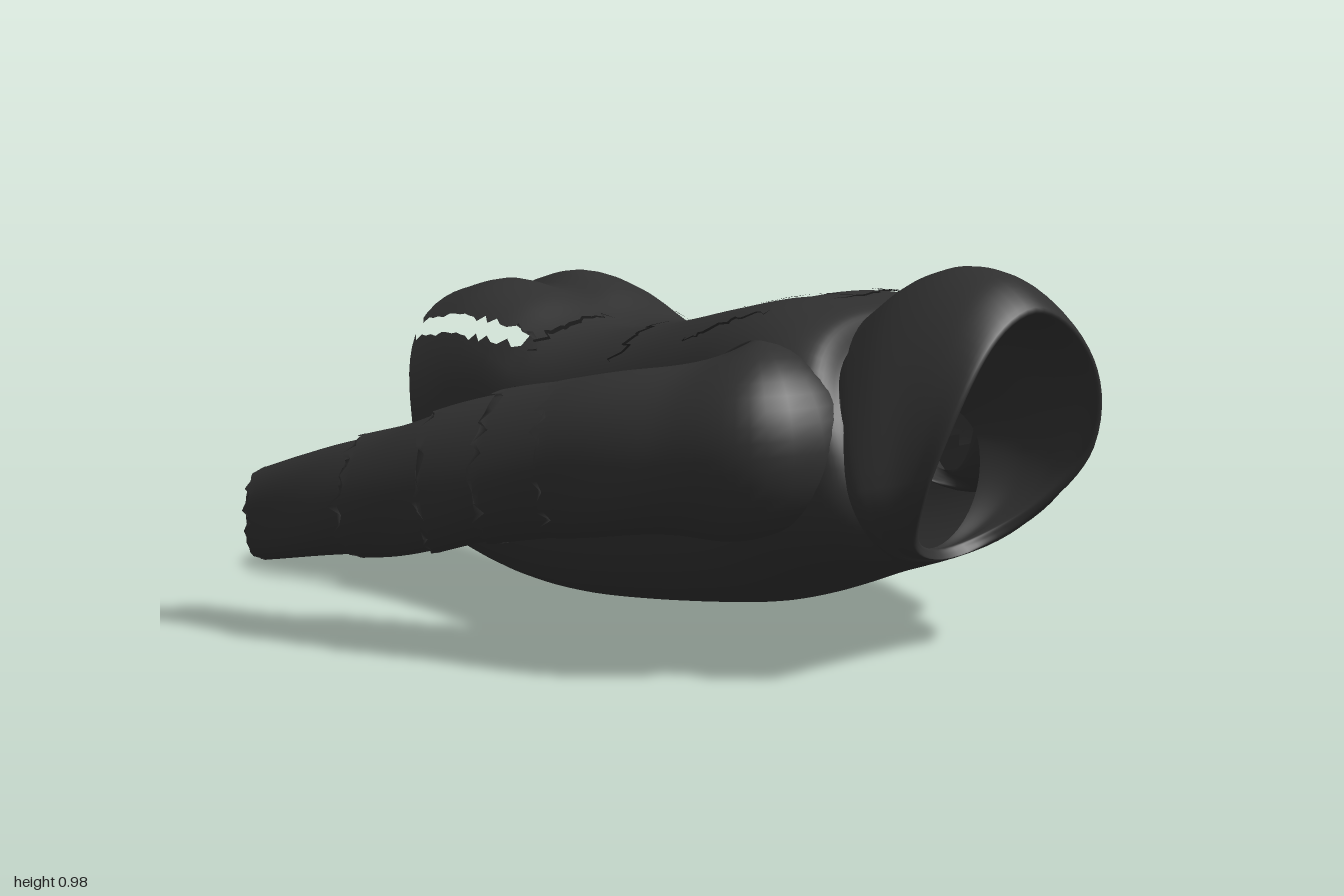
import * as THREE from 'three';

const cloth = new THREE.MeshStandardMaterial({ color: 0x303030, side: THREE.DoubleSide });
cloth.name = 'charcoalCloth';
const seam = new THREE.MeshStandardMaterial({ color: 0x161616, side: THREE.DoubleSide });
seam.name = 'darkTear';

// Repeatable jitter in -1..1
const jag = (i, k = 1) => {
  const s = Math.sin(i * 127.1 + k * 311.7) * 43758.5453;
  return 2 * (s - Math.floor(s)) - 1;
};

// Smooth interpolation through rows of key values, t from 0 to 1
function sample(keys, t) {
  const f = THREE.MathUtils.clamp(t, 0, 1) * (keys.length - 1);
  const i = Math.min(Math.floor(f), keys.length - 2), u = f - i;
  const at = (j) => keys[THREE.MathUtils.clamp(j, 0, keys.length - 1)];
  return keys[i].map((p1, c) => {
    const p0 = at(i - 1)[c], p2 = at(i + 1)[c], p3 = at(i + 2)[c];
    const m1 = (p2 - p0) / 2, m2 = (p3 - p1) / 2, d = p2 - p1;
    return p1 + u * (m1 + u * (3 * d - 2 * m1 - m2 + u * (m1 + m2 - 2 * d)));
  });
}

// Surface of rings: point(t, angle, row, column); skip() leaves holes
function loft(name, rows, cols, point, skip = () => false) {
  const pos = [], idx = [];
  for (let r = 0; r <= rows; r++) {
    for (let c = 0; c < cols; c++) {
      pos.push(...point(r / rows, (c / cols) * Math.PI * 2, r, c));
    }
  }
  for (let r = 0; r < rows; r++) {
    for (let c = 0; c < cols; c++) {
      if (skip(r, c)) continue;
      const a = r * cols + c, b = r * cols + (c + 1) % cols;
      idx.push(a, b, a + cols, b, b + cols, a + cols);
    }
  }
  const g = new THREE.BufferGeometry();
  g.setAttribute('position', new THREE.Float32BufferAttribute(pos, 3));
  g.setIndex(idx);
  g.computeVertexNormals();
  const mesh = new THREE.Mesh(g, cloth);
  mesh.name = name;
  return mesh;
}

// Point on a section [zTop, zBottom, halfWidth, yTop, yBottom, yWidest, sideBulge];
// the exponents set how boxy the upper and lower halves are
function sectionPoint([zt, zb, w, yt, yb, yw, bulge], a, upper, lower) {
  const c = Math.cos(a), s = Math.sin(a), n = s > 0 ? upper : lower;
  const k = (Math.abs(c) ** n + Math.abs(s) ** n) ** (-1 / n);
  const x = w * c * k;
  const y = yw + (s > 0 ? yt - yw : yw - yb) * s * k;
  return [x, y, zb + (zt - zb) * (y - yb) / (yt - yb) + bulge * c * c];
}

const torsoKeys = [
  [-0.97, -0.89, 0.42, 0.785, 0.06, 0.42, 0.08],
  [-0.81, -0.75, 0.395, 0.825, 0.02, 0.40, 0.03],
  [-0.65, -0.62, 0.38, 0.80, 0, 0.40, 0],
  [-0.45, -0.45, 0.375, 0.725, 0, 0.38, 0],
  [-0.20, -0.20, 0.388, 0.758, 0.025, 0.38, 0],
  [0.05, 0.05, 0.41, 0.82, 0.06, 0.42, 0],
  [0.25, 0.25, 0.44, 0.865, 0.10, 0.45, 0],
  [0.40, 0.46, 0.46, 0.865, 0.18, 0.50, 0.03],
  [0.47, 0.60, 0.42, 0.85, 0.23, 0.50, 0.10],
  [0.50, 0.66, 0.36, 0.80, 0.26, 0.50, 0.12],
];

function torsoPoint(t, a) {
  const p = sectionPoint(sample(torsoKeys, t), a, 2.9, 2.35);
  // Centre groove, deepest at the seat
  if (Math.sin(a) > 0) {
    const seat = 1 - THREE.MathUtils.smoothstep(t, 0.1, 0.4);
    const groove = Math.exp(-((p[0] / 0.07) ** 2));
    p[1] -= (0.005 + 0.035 * seat) * groove;
    p[2] += 0.03 * groove * seat;
  }
  return p;
}

const hoodKeys = [
  [0.44, 0.63, 0.375, 0.83, 0.25, 0.48, 0.13],
  [0.48, 0.66, 0.39, 0.86, 0.25, 0.48, 0.13],
  [0.59, 0.67, 0.37, 0.935, 0.26, 0.49, 0.12],
  [0.72, 0.68, 0.335, 0.975, 0.26, 0.50, 0.11],
  [0.85, 0.68, 0.31, 0.96, 0.26, 0.51, 0.10],
  [0.94, 0.67, 0.295, 0.895, 0.27, 0.52, 0.10],
  [0.90, 0.66, 0.27, 0.87, 0.28, 0.52, 0.10],
  [0.76, 0.65, 0.27, 0.84, 0.28, 0.51, 0.08],
  [0.64, 0.64, 0.245, 0.74, 0.27, 0.50, 0.05],
  [0.52, 0.62, 0.20, 0.65, 0.275, 0.51, 0.03],
];

// Sleeve path: x, y, z, half width, half height
const sleeveKeys = (endX, endZ) => [
  [0.30, 0.58, 0.38, 0.19, 0.18],
  [0.39, 0.565, 0.40, 0.26, 0.235],
  [0.505, 0.53, 0.25, 0.195, 0.205],
  [0.605, 0.50, 0.00, 0.175, 0.195],
  [0.73, 0.425, -0.30, 0.15, 0.175],
  [0.83, 0.355, -0.54, 0.115, 0.15],
  [endX, 0.285, endZ, 0.08, 0.11],
];

function sleevePoint(keys, t, a, grow) {
  const [x, y, z, w, h] = sample(keys, t);
  const p = sample(keys, t - 0.01), q = sample(keys, t + 0.01);
  const dx = q[0] - p[0], dz = q[2] - p[2], len = Math.hypot(dx, dz);
  const fold = grow + 0.005 * Math.sin(a * 3 + t * 25);
  const c = Math.cos(a) * (w + fold), s = Math.sin(a) * (h + fold);
  return [x - (dz / len) * c, y + s, z + (dx / len) * c];
}

// Jagged tear lying on the torso, between two [t, angle] points
function tear(from, to, width, seed) {
  const n = 16, pos = [], idx = [];
  for (let i = 0; i <= n; i++) {
    const u = i / n;
    const t = THREE.MathUtils.lerp(from[0], to[0], u) + 0.010 * jag(i, seed);
    const a = THREE.MathUtils.lerp(from[1], to[1], u) + 0.035 * jag(i, seed + 3);
    const wide = width * Math.sin(Math.PI * u) + 0.001;
    for (const k of [-1, 1]) {
      const [x, y, z] = torsoPoint(t + k * wide * 0.4, a + k * wide);
      pos.push(x + 0.006 * Math.cos(a), y + 0.006 * Math.sin(a), z);
    }
    if (i < n) idx.push(2 * i, 2 * i + 1, 2 * i + 2, 2 * i + 1, 2 * i + 3, 2 * i + 2);
  }
  const g = new THREE.BufferGeometry();
  g.setAttribute('position', new THREE.Float32BufferAttribute(pos, 3));
  g.setIndex(idx);
  g.computeVertexNormals();
  const mesh = new THREE.Mesh(g, seam);
  mesh.name = 'backTear';
  return mesh;
}

export function createModel() {
  const model = new THREE.Group();
  model.name = 'tornHoodedTop';

  // Torso shell, open at both ends and the armholes, split along the hips
  const cols = 72, rows = 72, split = [8, 27];
  const armhole = (r, c) => {
    const [x, y, z] = torsoPoint(r / rows, (c / cols) * Math.PI * 2);
    return Math.abs(x) > 0.38 && Math.hypot((z - 0.33) / 0.14, (y - 0.55) / 0.13) < 1;
  };
  model.add(loft('torso', rows, cols, (t, a, r, c) => {
    const side = Math.sign(Math.cos(a));
    const upper = split.includes(side > 0 ? c - 1 : c);
    const lower = split.includes(side > 0 ? c : c - 1);
    if (r > 21 || !(upper || lower)) return torsoPoint(t, a);
    const sag = 0.03 * jag(r) + 0.005 * r - 0.07 * Math.sin((Math.PI * r) / 21);
    return torsoPoint(t, a + side * (sag + (upper ? 0.02 : -0.02)));
  }, (r, c) => (r < 20 && split.includes(c)) || armhole(r, c)));

  // Hood with its rolled rim and inner lining
  model.add(loft('hood', 60, 64, (t, a) => sectionPoint(sample(hoodKeys, t), a, 1.8, 1.85)));

  // Sleeves made of overlapping torn bands
  const bands = [[0, 0.53], [0.50, 0.61], [0.59, 0.70], [0.67, 0.85], [0.82, 1]];
  for (const side of [-1, 1]) {
    const keys = side > 0 ? sleeveKeys(0.925, -0.79) : sleeveKeys(0.92, -0.85);
    const sleeve = new THREE.Group();
    sleeve.name = side > 0 ? 'leftSleeve' : 'rightSleeve';
    bands.forEach(([t0, t1], i) => {
      const n = i ? 12 : 30;
      sleeve.add(loft('sleeveBand', n, 40, (u, a, r, c) => {
        const ragged = r === n ? 0.014 * jag(c, i + side * 5) - 0.012 : 0;
        const t = THREE.MathUtils.lerp(t0, t1, u) + ragged;
        const [x, y, z] = sleevePoint(keys, t, a, (i ? 0.012 * u : 0.006 * u) - 0.004);
        return [side * x, y, z];
      }));
    });
    model.add(sleeve);
  }

  // Tears across the back
  const tears = [
    [[0.30, 1.65], [0.30, 2.35], 0.010], [[0.31, 0.72], [0.30, 0.98], 0.014],
    [[0.44, 1.75], [0.45, 2.4], 0.010], [[0.53, 0.8], [0.53, 1.7], 0.006],
    [[0.56, 2.3], [0.70, 2.1], 0.012], [[0.56, 1.7], [0.74, 1.55], 0.010],
    [[0.72, 1.1], [0.75, 1.75], 0.014], [[0.66, 1.2], [0.72, 1.0], 0.010],
  ];
  tears.forEach(([a, b, w], i) => model.add(tear(a, b, w, i + 1)));

  return model;
}
